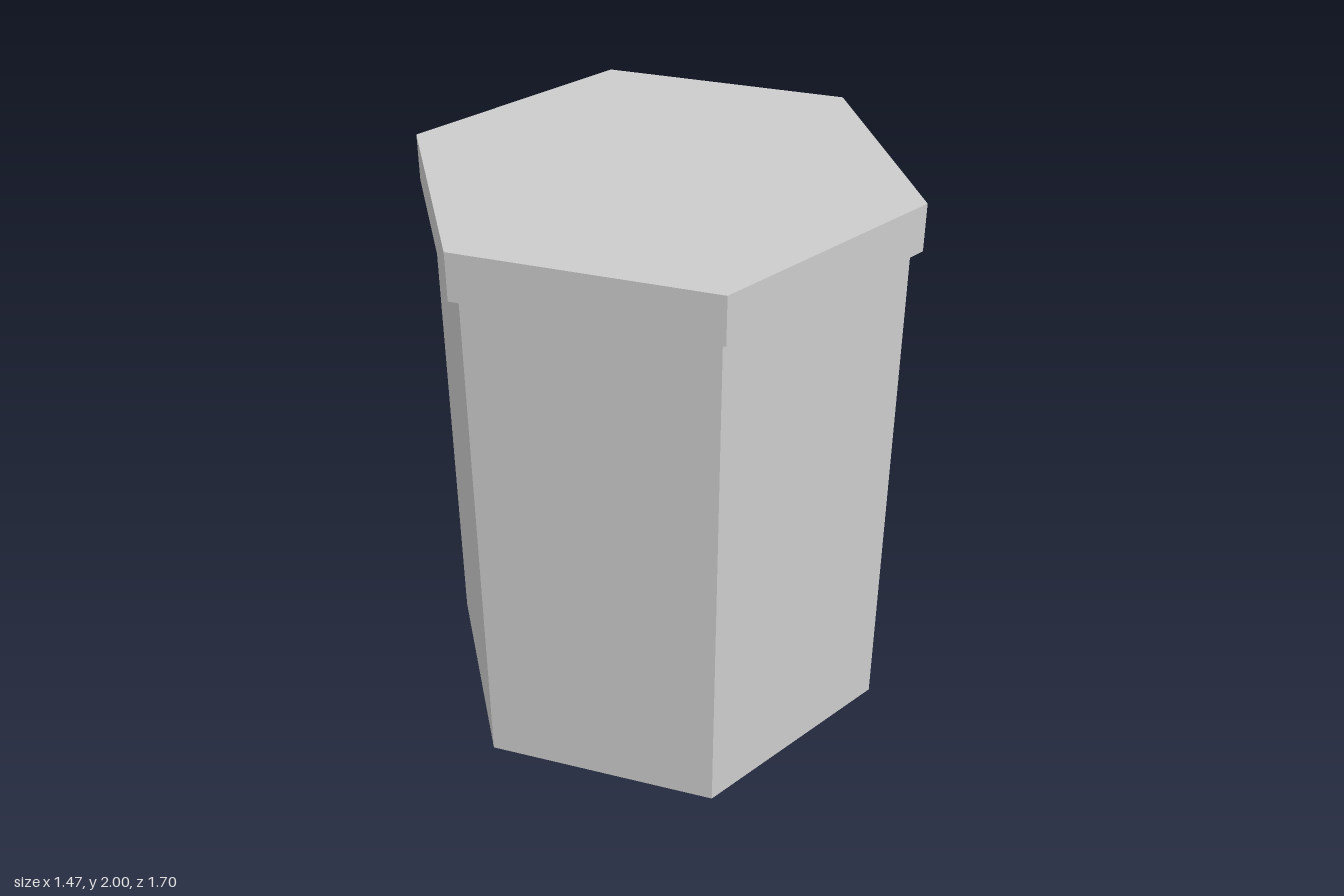
import * as THREE from 'three';

export function createModel() {
  const group = new THREE.Group();
  group.name = 'hexagonalContainer';
  const material = new THREE.MeshStandardMaterial({ color: 0xcccccc, flatShading: true });

  // Closed six-sided prism with a corner facing the front
  const addPrism = (name, radius, bottom, top) => {
    const geometry = new THREE.CylinderGeometry(radius, radius, top - bottom, 6);
    const mesh = new THREE.Mesh(geometry, material);
    mesh.name = name;
    mesh.position.y = (bottom + top) / 2;
    group.add(mesh);
  };

  addPrism('body', 0.81, 0, 1.822);
  // Wider lid, floating just above the body
  addPrism('lid', 0.848, 1.837, 2);

  return group;
}
